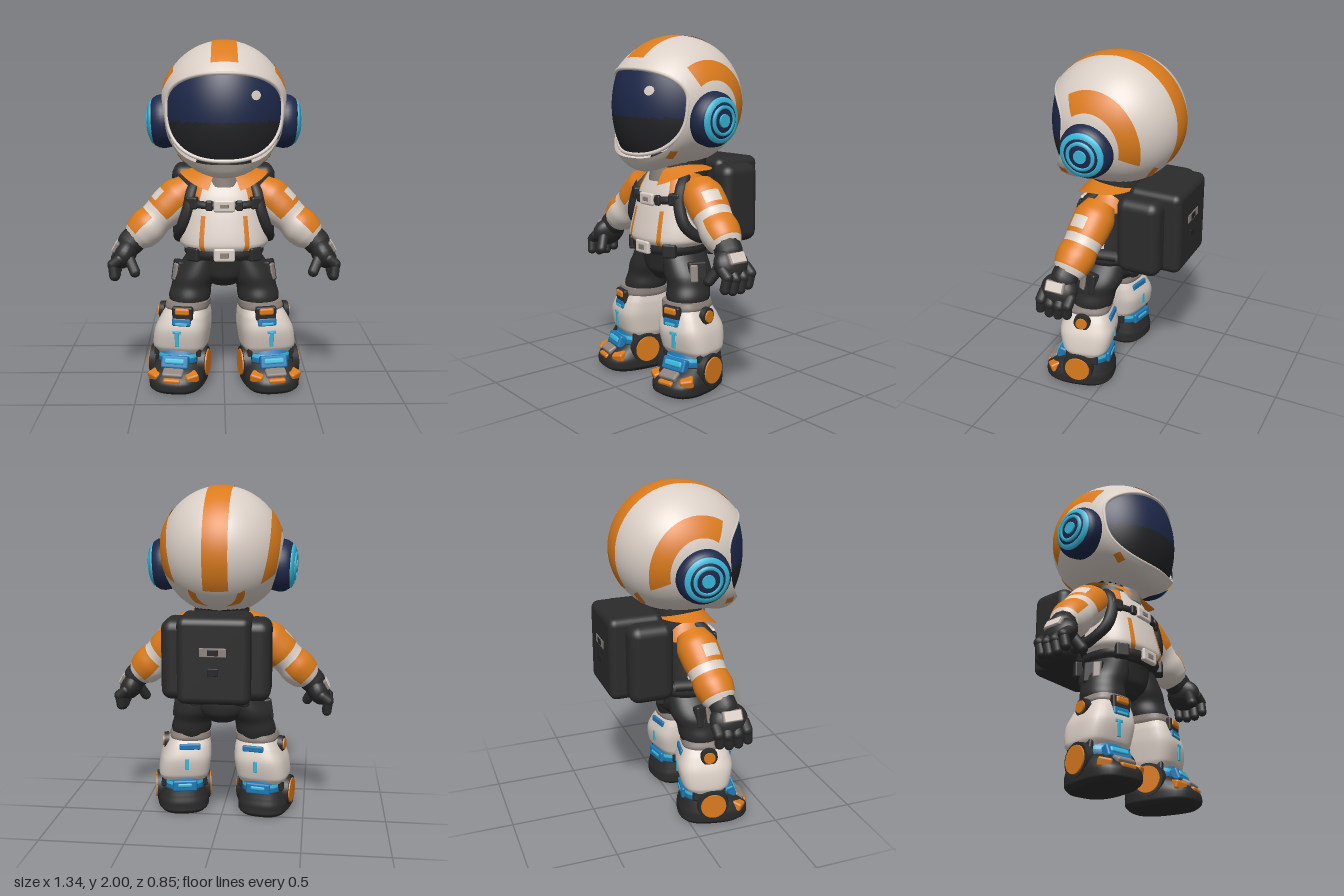
import * as THREE from 'three';
import { RoundedBoxGeometry } from 'three/addons/geometries/RoundedBoxGeometry.js';

const mat = (name, color) => new THREE.MeshStandardMaterial({ name, color, side: THREE.DoubleSide });
const { PI, sin, cos, abs, sqrt, max, min } = Math;
const V = (x, y, z) => new THREE.Vector3(x, y, z);

export function createModel() {
  const white = mat('warm white', 0xdacfc6), orange = mat('orange', 0xdb7b1c), black = mat('charcoal', 0x2b2b2c);
  const navy = mat('navy', 0x1e294a), smoke = mat('smoked glass', 0x232427), cyan = mat('cyan', 0x3ab8da);
  const blue = mat('blue', 0x1f78b4), gray = mat('gray', 0x8d827c);
  const root = new THREE.Group();
  root.name = 'spaceExplorer';

  const add = (parent, name, geo, m, pos = [0, 0, 0], rot = [0, 0, 0]) => {
    const mesh = new THREE.Mesh(geo, m);
    mesh.name = name;
    mesh.position.set(...pos);
    mesh.rotation.set(...rot);
    parent.add(mesh);
    return mesh;
  };
  const box = (p, name, m, size, pos, rot, r = 0.012) =>
    add(p, name, new RoundedBoxGeometry(...size, 3, min(r, min(...size) / 2.1)), m, pos, rot);
  const disc = (p, name, m, r, h, pos, rot) => add(p, name, new THREE.CylinderGeometry(r * 0.94, r, h, 28), m, pos, rot);
  const tube = (p, name, m, pts, r) => add(p, name, new THREE.TubeGeometry(new THREE.CatmullRomCurve3(pts.map(q => V(...q))), 24, r, 10), m);
  const capsule = (p, name, m, a, b, r) => {
    const A = V(...a), d = V(...b).sub(A);
    const mesh = add(p, name, new THREE.CapsuleGeometry(r, d.length(), 6, 12), m, A.clone().addScaledVector(d, 0.5).toArray());
    mesh.quaternion.setFromUnitVectors(V(0, 1, 0), d.normalize());
  };

  // Grid surface f(u, v); pick chooses a material index for each quad
  function surface(parent, name, nu, nv, closed, f, mats, pick) {
    const pos = [], idx = mats.map(() => []), w = closed ? nu : nu + 1;
    for (let j = 0; j <= nv; j++) for (let i = 0; i < w; i++) pos.push(...f(i / nu, j / nv, j));
    const at = k => V(pos[3 * k], pos[3 * k + 1], pos[3 * k + 2]);
    for (let j = 0; j < nv; j++) for (let i = 0; i < nu; i++) {
      const a = j * w + i, c = j * w + (i + 1) % w, b = a + w, d = c + w;
      const mid = at(a).add(at(d)).multiplyScalar(0.5);
      idx[pick ? pick(mid, (i + 0.5) / nu) : 0].push(a, b, c, c, b, d);
    }
    const g = new THREE.BufferGeometry();
    g.setAttribute('position', new THREE.Float32BufferAttribute(pos, 3));
    g.setIndex(idx.flat());
    let start = 0;
    idx.forEach((l, k) => { g.addGroup(start, l.length, k); start += l.length; });
    g.computeVertexNormals();
    if (mats.length === 1) g.clearGroups();
    return add(parent, name, g, mats.length === 1 ? mats[0] : mats);
  }

  // Capped loft through rows of [y, centreX, centreZ, radiusX, radiusZ], listed upwards
  function loft(parent, name, mats, rows, exp = 2, pick, nu = 40) {
    const c = new THREE.CatmullRomCurve3(rows.map(r => V(r[1], r[0], r[2])));
    const s = new THREE.CatmullRomCurve3(rows.map(r => V(r[3], 0, r[4])));
    const n = (rows.length - 1) * 6, nv = n + 4;
    return surface(parent, name, nu, nv, true, (u, v, j) => {
      const t = min(1, max(0, (j - 2) / n)), p = c.getPoint(t), q = s.getPoint(t), a = u * 2 * PI;
      const k = j === 0 || j === nv ? 0 : (abs(cos(a)) ** exp + abs(sin(a)) ** exp) ** (-1 / exp);
      return [p.x + k * q.x * cos(a), p.y, p.z + k * q.z * sin(a)];
    }, mats, pick);
  }

  // Builds the left side (+x), then a mirrored copy for the right
  function bothSides(name, build) {
    const left = new THREE.Group(), right = new THREE.Group();
    left.name = name + 'Left';
    right.name = name + 'Right';
    build(left);
    left.updateMatrixWorld(true);
    left.traverse(o => {
      if (!o.isMesh) return;
      const g = o.geometry.clone().applyMatrix4(new THREE.Matrix4().makeScale(-1, 1, 1).multiply(o.matrixWorld));
      const id = g.index ? Array.from(g.index.array) : [...Array(g.attributes.position.count).keys()];
      for (let i = 0; i < id.length; i += 3) [id[i], id[i + 1]] = [id[i + 1], id[i]];
      g.setIndex(id);
      add(right, o.name, g, o.material);
    });
    root.add(left, right);
  }

  // Helmet: ellipsoid pulled forward to a visor rim and a jaw, dark around the neck opening
  const C = V(0, 1.63, 0.03);
  const visorZ = (x, y) => 0.03 + 0.39 * sqrt(max(0.02, 1 - (x / 0.37) ** 2 - ((y - 1.6) / 0.48) ** 2));
  const opening = (phi, k = 1) => {
    const b = sin(phi) > 0 ? 0.187 : 0.285, n = 2.5;
    const r = k * (abs(cos(phi) / 0.32) ** n + abs(sin(phi) / b) ** n) ** (-1 / n);
    const x = r * cos(phi), y = C.y + r * sin(phi);
    return V(x, y, visorZ(x, y));
  };
  const radius = d => 1 / sqrt((d.x / 0.36) ** 2 + (d.y / 0.37) ** 2 + (d.z / 0.378) ** 2);
  const shell = (dir, off = 0) => {
    const d = dir.clone().normalize(), phi = Math.atan2(d.y, d.x), theta = Math.acos(d.z);
    const e = opening(phi).sub(C), d0 = e.length();
    e.normalize();
    const th0 = Math.acos(e.z), t = (theta - th0) / (PI - th0);
    const jaw = 0.06 * Math.exp(-(((theta - 0.93) / 0.2) ** 2)) * max(0, -sin(phi)) ** 3;
    const r = radius(d) + (d0 - radius(e) + 0.011) * max(0, 1 - 2.4 * t) ** 2 + jaw + off;
    return d.multiplyScalar(r).add(C).toArray();
  };
  const polar = (phi, th) => V(cos(phi) * sin(th), sin(phi) * sin(th), cos(th));
  surface(root, 'helmetShell', 96, 56, true, (u, v) => {
    const phi = u * 2 * PI, th0 = Math.acos(opening(phi).sub(C).normalize().z);
    return shell(polar(phi, th0 + (PI - th0) * min(v, 0.9999)));
  }, [white, black], p => (p.y < 1.6 && Math.hypot(p.x, p.z - 0.02) < 0.17 ? 1 : 0));
  surface(root, 'visor', 72, 30, true, (u, v) => opening(u * 2 * PI, v).toArray(), [navy, smoke], p => (p.y < 1.555 ? 1 : 0));
  const rim = new THREE.CatmullRomCurve3(Array.from({ length: 64 }, (_, i) => opening(i / 32 * PI, 1.005).add(V(0, 0, 0.004))), true);
  add(root, 'visorRim', new THREE.TubeGeometry(rim, 128, 0.011, 8, true), white);
  surface(root, 'visorGlint', 16, 2, true, (u, v) => {
    const x = 0.17 + 0.026 * v * cos(u * 2 * PI), y = 1.7 + 0.026 * v * sin(u * 2 * PI);
    return [x, y, visorZ(x, y) + 0.004];
  }, [white]);
  surface(root, 'crownStripe', 6, 48, false, (u, v) => {
    const b = 0.67 + v * (PI - 0.1);
    return shell(V(0.19 * (2 * u - 1), sin(b), cos(b)), 0.004);
  }, [orange]);
  bothSides('helmetSide', p => {
    const side = (z, y) => shell(V(0.36 * sqrt(max(0.01, 1 - ((y - C.y) / 0.37) ** 2 - ((z - C.z) / 0.378) ** 2)), y - C.y, z - C.z), 0.005);
    surface(p, 'earStripe', 8, 32, false, (u, v) => {
      const a = 1.0 - 0.06 * (1 - u) + v * 2.52, r = 0.172 + 0.103 * u;
      return side(0.05 + r * cos(a) * 0.96, 1.57 + r * sin(a) * 1.05);
    }, [orange]);
    surface(p, 'rearMark', 3, 6, false, (u, v) => side(-0.185 - 0.06 * v - 0.008 * u, 1.355 + 0.08 * v - 0.02 * u), [orange]);
    surface(p, 'jawMark', 4, 4, false, (u, v) => shell(polar(-0.93 + 0.15 * u, 0.94 + 0.1 * v), 0.005), [orange]);
    const ear = new THREE.Group();
    ear.position.set(0.3, 1.545, 0.068);
    ear.rotation.set(0, 0.05, -PI / 2 - 0.05);
    p.add(ear);
    const prof = [[0.148, 0], [0.155, 0.045], [0.15, 0.075], [0.135, 0.1], [0.1, 0.12], [0.05, 0.131], [0, 0.133]];
    add(ear, 'earPod', new THREE.LatheGeometry(prof.map(q => new THREE.Vector2(...q)), 40), navy);
    // Flat glowing bands that follow the domed pod
    [[0.126, 0.108, 0.1, 0.122], [0.083, 0.128, 0.066, 0.132]].forEach(([r0, y0, r1, y1]) =>
      add(ear, 'earRing', new THREE.LatheGeometry([[r0, y0 - 0.004], [r0, y0 + 0.006], [r1, y1 + 0.006], [r1, y1 - 0.004]]
        .map(q => new THREE.Vector2(...q)), 40), cyan));
    disc(ear, 'earButton', cyan, 0.038, 0.012, [0, 0.135, 0], [0, 0, 0]);
  });

  // Jacket, neck and collar
  loft(root, 'jacket', [white, orange, black], [[0.8, 0, 0.1, 0.21, 0.17], [0.86, 0, 0.095, 0.258, 0.205], [1, 0, 0.08, 0.24, 0.19],
    [1.12, 0, 0.065, 0.225, 0.17], [1.21, 0, 0.06, 0.18, 0.135], [1.27, 0, 0.05, 0.12, 0.11]], 2.3, (p, u) => {
    const column = abs(u * 112 - 28);
    if (p.z < 0.02 && p.y < 1.12) return 2;
    return (p.y > 1.1 && (column > 11 || p.z < 0.05)) || (p.y < 1.03 && column > 8 && column < 10) ? 1 : 0;
  }, 112);
  disc(root, 'neck', black, 0.17, 0.14, [0, 1.25, 0.03], [0, 0, 0]);
  disc(root, 'throat', gray, 0.1, 0.1, [0, 1.23, 0.12], [0, 0, 0]);
  surface(root, 'collar', 48, 8, false, (u, v) => {
    const a = PI / 2 + 0.36 + u * (2 * PI - 0.72), r = 0.13 + 0.125 * v, front = max(0, sin(a));
    return [r * cos(a), 1.285 - 0.035 * v - 0.095 * v * front ** 2, 0.05 + r * sin(a) * (sin(a) > 0 ? 0.88 : 0.68)];
  }, [orange]);

  // Harness, belt and hips
  tube(root, 'chestStrap', black, [[-0.21, 1.09, 0.17], [-0.12, 1.08, 0.225], [0, 1.08, 0.24], [0.12, 1.08, 0.225], [0.21, 1.09, 0.17]], 0.023);
  box(root, 'chestBuckle', white, [0.12, 0.07, 0.025], [0, 1.08, 0.26]);
  box(root, 'chestBuckleSlot', gray, [0.05, 0.025, 0.008], [0, 1.08, 0.272]);
  loft(root, 'belt', [black], [[0.765, 0, 0.09, 0.215, 0.185], [0.8, 0, 0.09, 0.232, 0.2], [0.84, 0, 0.09, 0.23, 0.195]], 2.3);
  box(root, 'beltBuckle', white, [0.12, 0.075, 0.03], [0, 0.805, 0.29]);
  box(root, 'beltBuckleSlot', gray, [0.05, 0.03, 0.008], [0, 0.805, 0.304]);
  loft(root, 'hips', [black], [[0.6, 0, 0.08, 0.08, 0.1], [0.66, 0, 0.075, 0.17, 0.15], [0.72, 0, 0.075, 0.215, 0.16], [0.8, 0, 0.085, 0.2, 0.165]]);
  bothSides('harness', p => {
    tube(p, 'shoulderStrap', black, [[0.15, 1.21, 0.1], [0.185, 1.15, 0.16], [0.205, 1.06, 0.19], [0.24, 0.95, 0.18], [0.262, 0.88, 0.1], [0.24, 0.87, -0.06]], 0.034);
    box(p, 'strapClip', black, [0.07, 0.07, 0.05], [0.18, 1.09, 0.2], [0, 0.4, 0]);
    box(p, 'buckleClip', black, [0.04, 0.06, 0.03], [0.085, 1.08, 0.248], [0, 0.15, 0]);
    box(p, 'beltPouch', black, [0.08, 0.08, 0.06], [0.17, 0.8, 0.23], [0, 0.6, 0]);
    box(p, 'hipPouch', black, [0.09, 0.1, 0.05], [0.13, 0.78, -0.1], [0, 0.5, 0]);
  });

  // Backpack
  box(root, 'packBody', black, [0.41, 0.49, 0.32], [0, 1.055, -0.265], [0, 0, 0], 0.045);
  bothSides('packPocket', p => box(p, 'pocket', black, [0.16, 0.46, 0.26], [0.23, 1.04, -0.205], [0, 0, 0], 0.06));
  box(root, 'packPanel', gray, [0.15, 0.05, 0.01], [0, 1.11, -0.423], [0, 0, 0], 0.004);
  box(root, 'packSlot', smoke, [0.06, 0.035, 0.008], [0, 1.11, -0.426], [0, 0, 0], 0.003);
  box(root, 'packLatch', smoke, [0.06, 0.045, 0.01], [0, 1.0, -0.423], [0, 0, 0], 0.004);

  // Arms and gloves; the orange sits on the outer and rear half of each sleeve
  bothSides('arm', p => {
    const sleeve = loft(p, 'sleeve', [white, orange], [[-0.02, 0, 0, 0.08, 0.09], [0.07, 0, 0, 0.115, 0.12], [0.16, 0, 0, 0.112, 0.118],
      [0.24, 0, 0, 0.1, 0.108], [0.31, 0, 0, 0.11, 0.114], [0.38, 0, 0, 0.1, 0.1], [0.42, 0, 0, 0.075, 0.08]], 2, (q, u) => {
      const c = cos(u * 2 * PI), outer = -0.75 * c - 0.6 * sin(u * 2 * PI);
      const patch = q.y > 0.1 && q.y < 0.17 && c < -0.88;
      return !patch && ((q.y < 0.2 && outer > -0.65) || (q.y > 0.25 && q.y < 0.385 && outer > -0.12)) ? 1 : 0;
    }, 56);
    sleeve.position.set(0.22, 1.15, 0.06);
    sleeve.quaternion.setFromUnitVectors(V(0, 1, 0), V(0.3, -0.29, 0.05).normalize());
    capsule(p, 'gloveCuff', black, [0.515, 0.87, 0.115], [0.54, 0.845, 0.12], 0.078);
    const palm = add(p, 'palm', new THREE.SphereGeometry(1, 24, 16), black, [0.575, 0.785, 0.135], [0, 0, 0.45]);
    palm.scale.set(0.068, 0.095, 0.11);
    box(p, 'handPlate', gray, [0.025, 0.068, 0.12], [0.622, 0.825, 0.135], [0, 0, 0.5]);
    box(p, 'handPlateFace', white, [0.009, 0.055, 0.1], [0.632, 0.831, 0.135], [0, 0, 0.5], 0.004);
    [0.05, 0.106, 0.162, 0.218].forEach((z, i) => {
      const drop = i === 0 || i === 3 ? 0.015 : 0;
      capsule(p, 'fingerBase', black, [0.6, 0.765, z], [0.638, 0.72 + drop, z], 0.031);
      capsule(p, 'fingerTip', black, [0.638, 0.72 + drop, z], [0.63, 0.655 + drop, z + 0.01], 0.028);
    });
    capsule(p, 'thumb', black, [0.55, 0.775, 0.19], [0.51, 0.695, 0.235], 0.031);
  });

  // Trousers, shin armour and boots
  bothSides('leg', p => {
    loft(p, 'thigh', [black], [[0.47, 0.205, 0.13, 0.105, 0.115], [0.54, 0.2, 0.12, 0.122, 0.13], [0.59, 0.19, 0.11, 0.118, 0.128],
      [0.66, 0.165, 0.095, 0.128, 0.145], [0.77, 0.12, 0.085, 0.1, 0.14]]);
    box(p, 'thighPocket', black, [0.05, 0.13, 0.11], [0.265, 0.67, 0.11], [0, -0.35, 0.15]);
    box(p, 'thighTag', gray, [0.02, 0.1, 0.045], [0.282, 0.675, 0.145], [0, -0.5, 0.15]);
    const leg = new THREE.Group();
    leg.position.set(0.24, 0, 0.13);
    leg.rotation.y = 0.2;
    p.add(leg);
    loft(leg, 'kneeBand', [gray], [[0.46, -0.03, 0, 0.118, 0.125], [0.485, -0.03, 0, 0.127, 0.133], [0.515, -0.035, 0, 0.122, 0.128]], 3);
    loft(leg, 'shinArmor', [white], [[0.215, 0.012, 0, 0.142, 0.12], [0.25, 0.012, 0, 0.155, 0.143], [0.35, -0.002, 0, 0.155, 0.163],
      [0.43, -0.02, 0, 0.137, 0.145], [0.475, -0.03, 0, 0.12, 0.125]], 3.6);
    box(leg, 'kneeMount', black, [0.12, 0.08, 0.06], [-0.03, 0.46, 0.125]);
    box(leg, 'kneePad', orange, [0.085, 0.04, 0.04], [-0.03, 0.473, 0.145]);
    box(leg, 'kneeLight', blue, [0.11, 0.05, 0.03], [-0.025, 0.41, 0.145], [-0.15, 0, 0]);
    box(leg, 'kneeGlow', cyan, [0.07, 0.016, 0.01], [-0.025, 0.4, 0.161], [-0.15, 0, 0], 0.004);
    box(leg, 'shinGlow', cyan, [0.024, 0.09, 0.009], [0, 0.31, 0.162], [0.05, 0, 0], 0.004);
    box(leg, 'shinGlowTop', cyan, [0.05, 0.018, 0.009], [0, 0.352, 0.162], [0, 0, 0], 0.004);
    box(leg, 'calfGlow', cyan, [0.024, 0.07, 0.009], [0, 0.33, -0.161], [0, 0, 0], 0.004);
    box(leg, 'calfLight', blue, [0.13, 0.04, 0.02], [-0.02, 0.435, -0.14]);
    disc(leg, 'kneeHub', black, 0.052, 0.03, [0.118, 0.44, 0.01], [0, 0, -PI / 2]);
    disc(leg, 'kneeHubCap', orange, 0.036, 0.03, [0.128, 0.44, 0.01], [0, 0, -PI / 2]);
    loft(leg, 'ankle', [blue, cyan], [[0.13, 0.012, 0.005, 0.125, 0.135], [0.18, 0.012, 0.005, 0.13, 0.145], [0.24, 0.012, 0, 0.125, 0.13]], 2.6,
      q => (q.y > 0.19 && q.y < 0.208 ? 1 : 0));
    loft(leg, 'boot', [black], [[0.005, 0.015, 0.045, 0.14, 0.185], [0.03, 0.015, 0.05, 0.16, 0.21], [0.07, 0.015, 0.05, 0.162, 0.21],
      [0.12, 0.015, 0.035, 0.152, 0.185], [0.16, 0.015, 0.008, 0.138, 0.148]], 2.8);
    box(leg, 'toePlate', gray, [0.12, 0.055, 0.06], [0.012, 0.115, 0.207], [0.5, 0, 0]);
    box(leg, 'toeStripe', orange, [0.1, 0.03, 0.03], [0.012, 0.088, 0.243], [0.3, 0, 0]);
    box(leg, 'ankleLight', blue, [0.16, 0.075, 0.05], [0.012, 0.172, 0.157], [-0.35, 0, 0]);
    box(leg, 'ankleGlow', cyan, [0.12, 0.035, 0.03], [0.012, 0.182, 0.172], [-0.35, 0, 0]);
    [-1, 1].forEach(s => {
      box(leg, 'toeTrim', orange, [0.075, 0.05, 0.065], [0.015 + s * 0.105, 0.1, 0.19], [0.3, s * 0.6, 0]);
      box(leg, 'ankleGuard', black, [0.03, 0.08, 0.2], [0.012 + s * 0.125, 0.205, 0.01], [0, 0, s * 0.15]);
      disc(leg, 'bootHub', black, 0.098, 0.04, [0.015 + s * 0.145, 0.14, 0.03], [0, 0, -s * PI / 2]);
      disc(leg, 'bootHubCap', orange, 0.08, 0.03, [0.015 + s * 0.158, 0.14, 0.03], [0, 0, -s * PI / 2]);
    });
    box(leg, 'heelLight', blue, [0.15, 0.07, 0.025], [0.012, 0.185, -0.135]);
    box(leg, 'heelGlow', cyan, [0.09, 0.025, 0.02], [0.012, 0.19, -0.143]);
  });
  return root;
}
